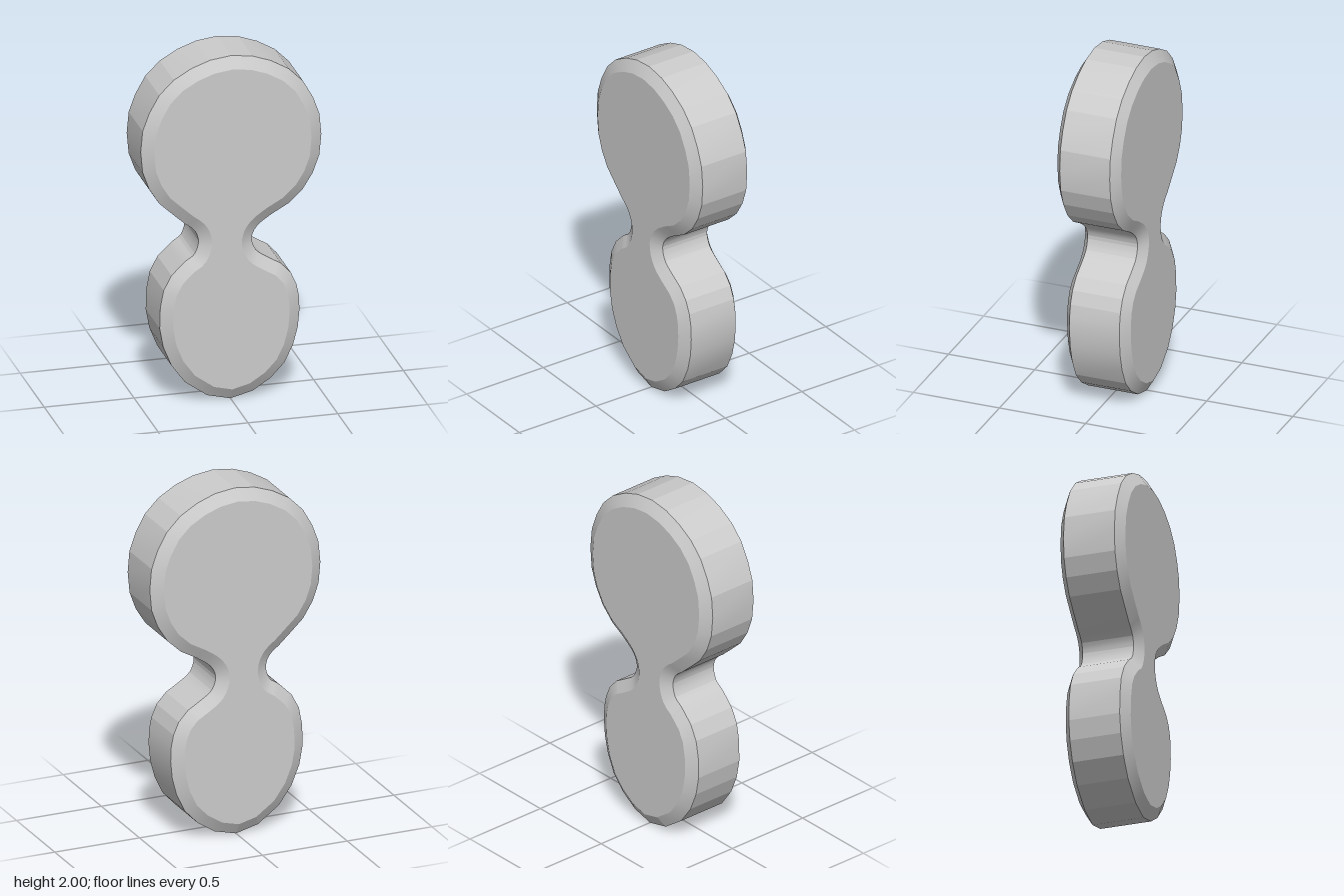
import * as THREE from 'three';
import { toCreasedNormals } from 'three/addons/utils/BufferGeometryUtils.js';

const v2 = ([x, y]) => new THREE.Vector2(x, y);
// Dense smooth run through a few points, for the waist
const smooth = (pts, n) => new THREE.SplineCurve(pts.map(v2)).getSpacedPoints(n);

export function createModel() {
  const group = new THREE.Group();
  group.name = 'doubleLobedPlate';

  // Upper round lobe, right half from the top down (mirrored for the left)
  const upper = [[0.117, 1.985], [0.22, 1.948], [0.32, 1.89], [0.4, 1.81], [0.456, 1.71],
    [0.492, 1.61], [0.503, 1.49], [0.492, 1.37], [0.456, 1.27], [0.4, 1.18], [0.32, 1.105]];
  // Waist, slightly off-centre
  const rightWaist = [[0.225, 1.052], [0.165, 1.01], [0.13, 0.97], [0.116, 0.925],
    [0.126, 0.88], [0.15, 0.843], [0.205, 0.805], [0.28, 0.76]];
  const leftWaist = [[-0.33, 0.752], [-0.255, 0.825], [-0.208, 0.858], [-0.188, 0.895],
    [-0.18, 0.94], [-0.192, 0.985], [-0.217, 1.017], [-0.255, 1.046]];
  // Lower egg-shaped lobe, from the right waist around the bottom to the left
  const lower = [[0.335, 0.70], [0.366, 0.63], [0.38, 0.56], [0.383, 0.48], [0.374, 0.38],
    [0.348, 0.28], [0.3, 0.18], [0.225, 0.1], [0.125, 0.035], [0, 0.003], [-0.13, 0.035],
    [-0.255, 0.125], [-0.33, 0.23], [-0.375, 0.34], [-0.395, 0.45], [-0.392, 0.57], [-0.373, 0.67]];

  const outline = [
    v2([0, 2]), ...upper.map(v2), ...smooth(rightWaist, 20), ...lower.map(v2),
    ...smooth(leftWaist, 20), ...upper.slice().reverse().map(([x, y]) => v2([-x, y])),
  ];

  // Thick plate with one flat chamfer on both faces
  const geo = new THREE.ExtrudeGeometry(new THREE.Shape(outline), {
    depth: 0.29, bevelEnabled: true, bevelThickness: 0.04, bevelSize: 0.065,
    bevelOffset: -0.065, bevelSegments: 1,
  });
  geo.translate(0, 0, -0.145);

  // Very slight forward lean
  const pos = geo.attributes.position;
  for (let i = 0; i < pos.count; i++) pos.setZ(i, pos.getZ(i) + 0.0075 * (pos.getY(i) - 1));

  const plate = new THREE.Mesh(toCreasedNormals(geo, 0.2),
    new THREE.MeshStandardMaterial({ color: 0xcccccc }));
  plate.name = 'plate';
  group.add(plate);
  return group;
}
